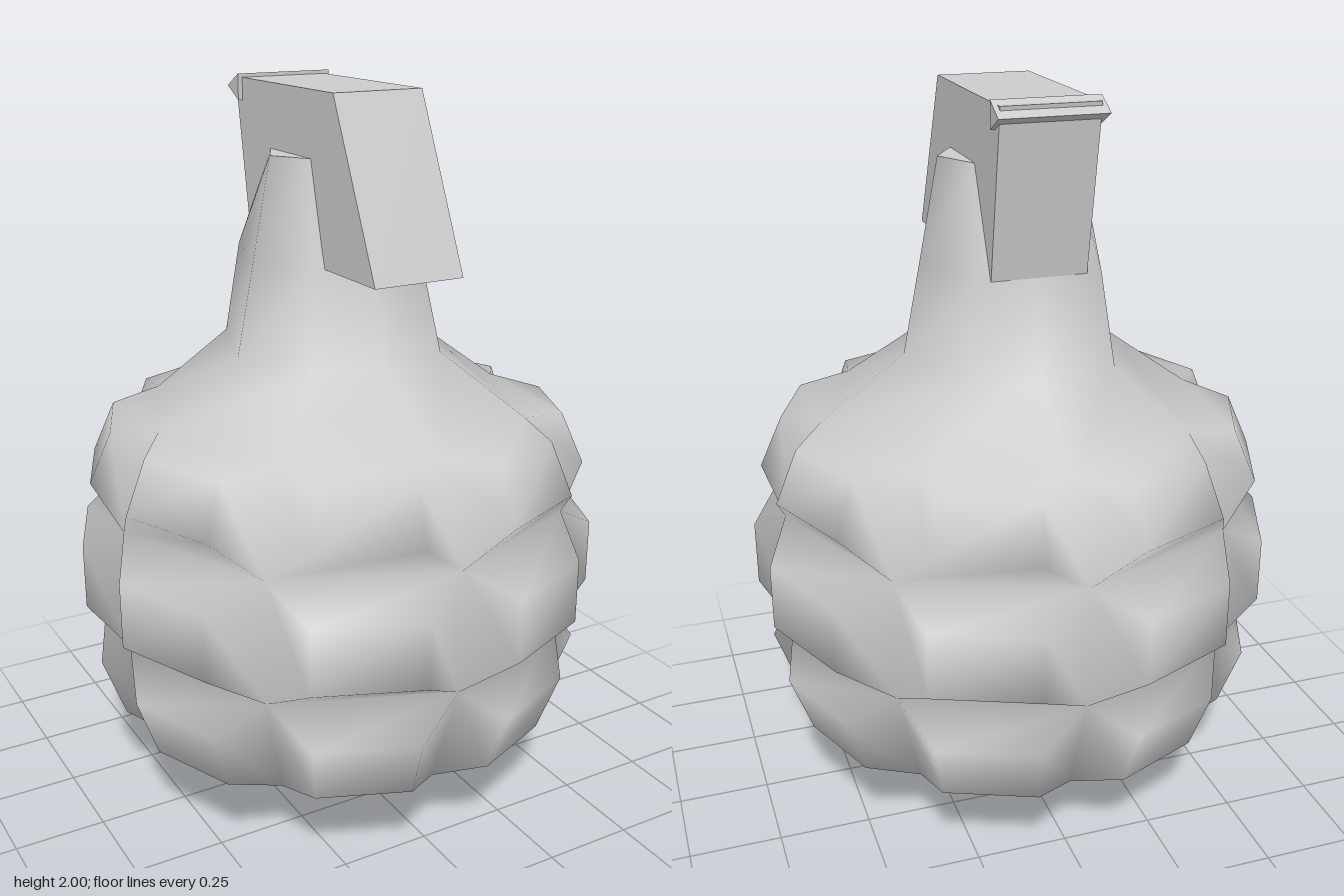
import * as THREE from 'three';
import { mergeVertices } from 'three/addons/utils/BufferGeometryUtils.js';

const SIDES = 8;
const STEP = (Math.PI * 2) / SIDES;
const INSET = 0.19; // angle from a groove to the edge of a raised plate

const material = new THREE.MeshStandardMaterial({ color: 0xcccccc });

const polar = (r, y, a) => [r * Math.sin(a), y, r * Math.cos(a)];

// Eight points around the axis, starting at the front
const ring = (r, y) => Array.from({ length: SIDES }, (_, k) => polar(r, y, k * STEP));

// Neck section: half width, diagonal corner width, and front / back depths
const neckRing = (y, w, corner, front, diagonal, back) => [
  [0, y, front], [corner, y, diagonal], [w, y, 0], [corner, y, -back],
  [0, y, -back], [-corner, y, -back], [-w, y, 0], [-corner, y, diagonal],
];

// Smooth surface from a list of triangle corners
function smoothMesh(name, corners) {
  const raw = new THREE.BufferGeometry();
  raw.setAttribute('position', new THREE.Float32BufferAttribute(corners.flat(), 3));
  const geometry = mergeVertices(raw, 1e-4);
  geometry.computeVertexNormals();
  const mesh = new THREE.Mesh(geometry, material);
  mesh.name = name;
  return mesh;
}

// Four corners counter-clockwise seen from outside
const quad = (out, a, b, c, d) => out.push(a, b, c, a, c, d);

function bridge(out, low, high) {
  for (let k = 0; k < SIDES; k++) {
    const n = (k + 1) % SIDES;
    quad(out, low[k], low[n], high[n], high[k]);
  }
}

// Side profile in (z, y), extruded across x
function sideExtrude(name, profile, width) {
  const shape = new THREE.Shape(profile.map(([z, y]) => new THREE.Vector2(z, y)));
  const geometry = new THREE.ExtrudeGeometry(shape, { depth: width, bevelEnabled: false });
  geometry.translate(0, 0, -width / 2);
  geometry.rotateY(-Math.PI / 2);
  const mesh = new THREE.Mesh(geometry, material);
  mesh.name = name;
  return mesh;
}

export function createModel() {
  const model = new THREE.Group();
  model.name = 'grenade';
  const shell = [];

  // Grooves between the plates
  const grooves = [ring(0.53, 0.22), ring(0.64, 0.53), ring(0.64, 0.87), ring(0.53, 1.13)];

  // Plates: [lower radius, lower y, upper radius, upper y]
  const plates = [
    [0.63, 0.26, 0.692, 0.43],
    [0.723, 0.61, 0.723, 0.79],
    [0.692, 0.97, 0.63, 1.11],
  ];

  // Pointed underside
  for (let k = 0; k < SIDES; k++) {
    shell.push([0, 0.005, 0], grooves[0][(k + 1) % SIDES], grooves[0][k]);
  }

  // Raised plates with sloping rims
  plates.forEach(([r0, y0, r1, y1], row) => {
    for (let k = 0; k < SIDES; k++) {
      const n = (k + 1) % SIDES;
      const left = k * STEP + INSET;
      const right = (k + 1) * STEP - INSET;
      const outer = [grooves[row][k], grooves[row][n], grooves[row + 1][n], grooves[row + 1][k]];
      const inner = [polar(r0, y0, left), polar(r0, y0, right), polar(r1, y1, right), polar(r1, y1, left)];
      quad(shell, ...inner);
      for (let i = 0; i < 4; i++) {
        const j = (i + 1) % 4;
        quad(shell, outer[i], outer[j], inner[j], inner[i]);
      }
    }
  });

  // Shoulder and tapering neck
  const neckRings = [
    neckRing(1.3, 0.295, 0.2, 0.275, 0.22, 0.275),
    neckRing(1.55, 0.245, 0.168, 0.2, 0.165, 0.245),
    neckRing(1.82, 0.192, 0.13, 0.118, 0.1, 0.115),
  ];
  bridge(shell, grooves[3], neckRings[0]);
  bridge(shell, neckRings[0], neckRings[1]);
  bridge(shell, neckRings[1], neckRings[2]);
  model.add(smoothMesh('body', shell));

  // Flat top of the neck
  const cap = [];
  const top = neckRings[2];
  for (let k = 0; k < SIDES; k++) cap.push([0, 1.82, 0], top[k], top[(k + 1) % SIDES]);
  model.add(smoothMesh('neckCap', cap));

  // Lever block over the neck and the three-sided hinge pin behind it
  model.add(sideExtrude('lever', [[0.42, 1.55], [0.215, 1.99], [-0.325, 1.99], [-0.248, 1.55]], 0.255));
  model.add(sideExtrude('hingePin', [[-0.285, 2.0], [-0.35, 1.965], [-0.285, 1.93]], 0.28));

  return model;
}
